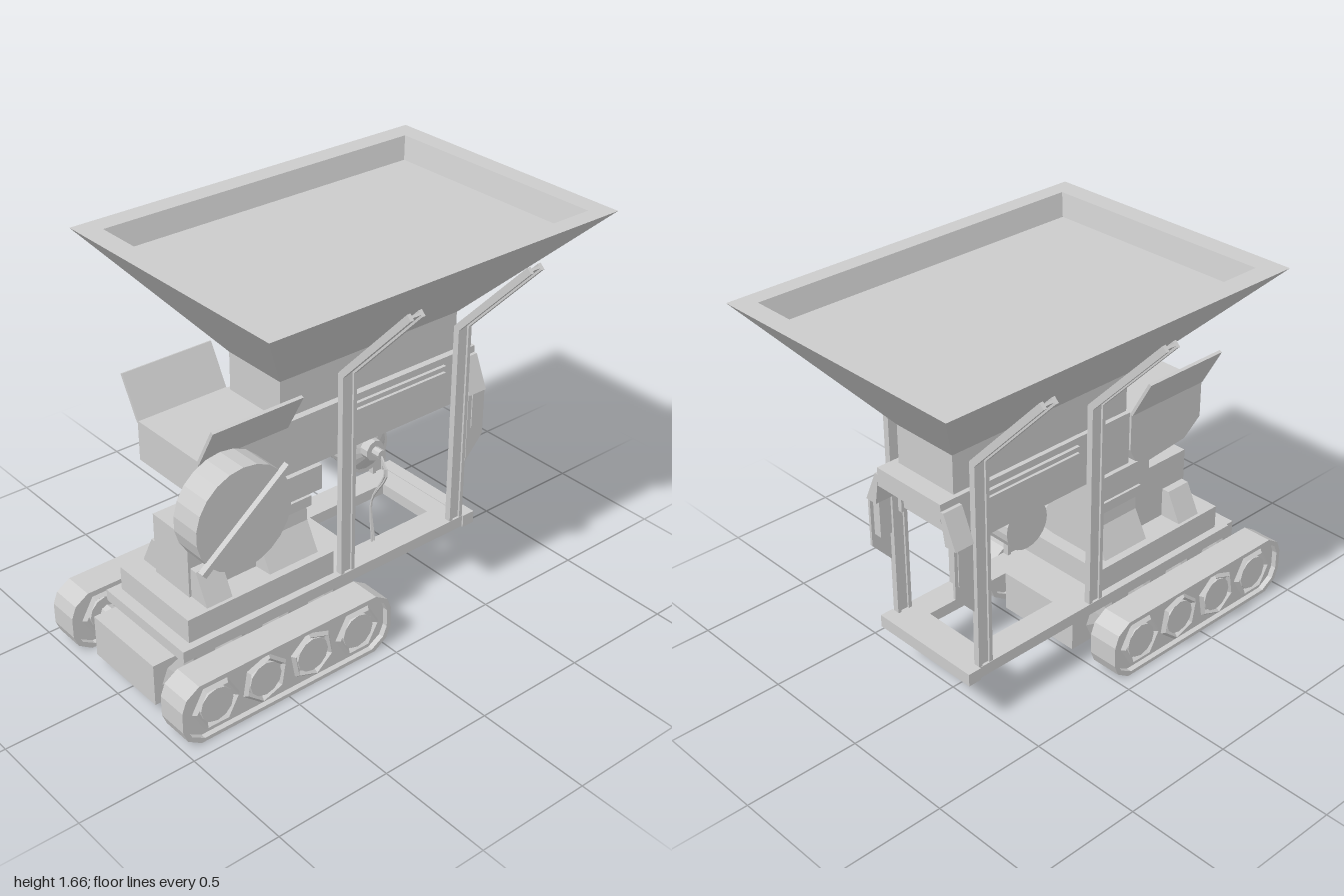
import * as THREE from 'three';

const mat = new THREE.MeshStandardMaterial({ color: 0xcccccc, flatShading: true, side: THREE.DoubleSide });

export function createModel() {
  const root = new THREE.Group();

  const add = (name, geo, parent = root) => {
    const m = new THREE.Mesh(geo, mat);
    m.name = name;
    parent.add(m);
    return m;
  };
  // box given by its limits on each axis
  const box = (name, x0, x1, y0, y1, z0, z1, parent) => {
    const m = add(name, new THREE.BoxGeometry(x1 - x0, y1 - y0, z1 - z0), parent);
    m.position.set((x0 + x1) / 2, (y0 + y1) / 2, (z0 + z1) / 2);
    return m;
  };
  // outline in x,y extruded from z0 to z1
  const plate = (name, pts, z0, z1, holes = [], parent) => {
    const shape = new THREE.Shape(pts.map(p => new THREE.Vector2(...p)));
    holes.forEach(h => shape.holes.push(new THREE.Path(h.map(p => new THREE.Vector2(...p)))));
    const m = add(name, new THREE.ExtrudeGeometry(shape, { depth: z1 - z0, bevelEnabled: false }), parent);
    m.position.z = z0;
    return m;
  };
  // outline in z,y extruded along x from x0 to x1
  const profileX = (name, pts, x0, x1) => {
    const m = plate(name, pts.map(([z, y]) => [-z, y]), 0, x1 - x0);
    m.rotation.y = Math.PI / 2;
    m.position.set(x0, 0, 0);
    return m;
  };
  // cylinder along z
  const cylZ = (name, x, y, z0, z1, r0, r1, n, parent) => {
    const m = add(name, new THREE.CylinderGeometry(r1, r0, z1 - z0, n), parent);
    m.rotation.x = Math.PI / 2;
    m.position.set(x, y, (z0 + z1) / 2);
    return m;
  };
  const rect = (x0, x1, y0, y1) => [[x0, y0], [x1, y0], [x1, y1], [x0, y1]];
  // stacked rectangles [x0, x1, y, z0, z1] joined into one closed skin
  const loft = sections => {
    const pos = [], idx = [];
    sections.forEach(([x0, x1, y, z0, z1]) => pos.push(x0, y, z1, x1, y, z1, x1, y, z0, x0, y, z0));
    for (let s = 0; s < sections.length - 1; s++) {
      for (let i = 0; i < 4; i++) {
        const a = s * 4 + i, b = s * 4 + (i + 1) % 4;
        idx.push(a, b, b + 4, a, b + 4, a + 4);
      }
    }
    const t = (sections.length - 1) * 4;
    idx.push(0, 2, 1, 0, 3, 2, t, t + 1, t + 2, t, t + 2, t + 3);
    const g = new THREE.BufferGeometry();
    g.setAttribute('position', new THREE.Float32BufferAttribute(pos, 3));
    g.setIndex(idx);
    const flat = g.toNonIndexed();
    flat.computeVertexNormals();
    return flat;
  };

  // Hopper with a shallow recessed load
  add('hopper', loft([
    [-0.30, 0.60, 1.195, -0.16, 0.15],
    [-0.69, 0.995, 1.665, -0.605, 0.59],
    [-0.60, 0.91, 1.665, -0.515, 0.515],
    [-0.58, 0.885, 1.57, -0.49, 0.49],
  ]));
  box('hopperNeck', -0.30, 0.60, 1.02, 1.2, -0.16, 0.15);

  // Feeder housing, hollow underneath
  box('feederTop', -0.30, 0.68, 0.95, 1.03, -0.18, 0.18);
  box('feederFloor', -0.30, 0.30, 0.8, 0.95, -0.17, 0.17);
  box('feederEndWall', 0.56, 0.59, 0.83, 0.95, -0.145, 0.145);
  box('feederCrossBar', 0.60, 0.64, 0.93, 0.95, -0.15, 0.15);
  for (const s of [-1, 1]) {
    box('feederSide', -0.30, 0.59, 0.8, 1.0, s * 0.17 - 0.01, s * 0.17 + 0.01);
    for (const y of [0.96, 0.99])
      box('feederRail', -0.01, 0.51, y - 0.01, y + 0.01, s * 0.185 - 0.01, s * 0.185 + 0.01);
  }

  // End flaps hanging at the discharge end
  for (const s of [-1, 1]) {
    profileX('flapShoulder', [[s * 0.175, 1.0], [s * 0.195, 1.0], [s * 0.257, 0.86], [s * 0.20, 0.86]], 0.59, 0.68);
    plate('endFlap', [[0.59, 0.55], [0.68, 0.65], [0.68, 0.87], [0.59, 0.87]], s * 0.243 - 0.006, s * 0.243 + 0.006);
    box('flapBox', 0.61, 0.665, 0.70, 0.86, s * 0.227 - 0.027, s * 0.227 + 0.027);
  }

  // Trough with flared side boards
  plate('trough', [[-0.71, 0.86], [-0.62, 0.79], [-0.40, 0.77], [-0.33, 0.80], [-0.30, 0.86], [-0.30, 1.03], [-0.71, 1.03]], -0.19, 0.19);
  for (const s of [-1, 1])
    profileX('flaredBoard', [[s * 0.18, 1.02], [s * 0.195, 1.02], [s * 0.288, 1.19], [s * 0.275, 1.195]], -0.71, -0.30);

  // Side drum with a diagonal bar
  cylZ('sideDrum', -0.655, 0.865, 0.25, 0.387, 0.215, 0.215, 22);
  cylZ('drumShaft', -0.655, 0.865, 0.15, 0.26, 0.07, 0.07, 12);
  const bar = box('drumBar', -0.25, 0.25, -0.013, 0.013, -0.013, 0.013);
  bar.position.set(-0.66, 0.867, 0.398);
  bar.rotation.z = Math.atan2(0.31, 0.4);

  // Turntable and engine block
  box('turntable', -0.44, -0.11, 0.66, 0.77, -0.165, 0.165);
  box('engineBlock', -0.72, -0.16, 0.39, 0.66, -0.11, 0.11);
  for (const s of [-1, 1]) {
    profileX('engineBox', [[s * 0.10, 0.39], [s * 0.21, 0.39], [s * 0.145, 0.52], [s * 0.10, 0.52]], -0.71, -0.59);
    profileX('engineSkirt', [[s * 0.10, 0.39], [s * 0.20, 0.40], [s * 0.135, 0.52], [s * 0.13, 0.60], [s * 0.16, 0.60], [s * 0.16, 0.645], [s * 0.10, 0.645]], -0.40, -0.16);
  }

  // Chassis and deck frame
  box('chassis', -0.96, 0.025, 0.05, 0.235, -0.20, 0.20);
  box('upperDeck', -0.81, -0.10, 0.285, 0.39, -0.225, 0.225);
  const deck = plate('deckFrame', rect(-0.86, 0.64, -0.258, 0.258), 0, 0.05, [rect(0.08, 0.49, -0.14, 0.14)]);
  deck.rotation.x = -Math.PI / 2;
  deck.position.set(0, 0.235, 0);
  box('deckEndBar', 0.58, 0.64, 0.233, 0.288, -0.265, 0.265);

  // H-section posts, upright and then leaning out under the hopper
  const beam = (x, s, [y0, z0], [y1, z1]) => {
    const g = new THREE.Group();
    const len = Math.hypot(y1 - y0, z1 - z0) / 2;
    g.name = 'post';
    for (const f of [-1, 1])
      box('postFlange', f * 0.027 - 0.008, f * 0.027 + 0.008, -len, len, -0.014, 0.014, g);
    box('postWeb', -0.02, 0.02, -len, len, -0.005, 0.005, g);
    g.position.set(x, (y0 + y1) / 2, s * (z0 + z1) / 2);
    g.rotation.x = s * Math.atan2(z1 - z0, y1 - y0);
    root.add(g);
  };
  for (const x of [-0.05, 0.545]) for (const s of [-1, 1]) {
    beam(x, s, [0.28, 0.242], [1.19, 0.242]);
    beam(x, s, [1.185, 0.24], [1.565, 0.602]);
  }

  // Conveyor pulley with motor, bracket and hoses
  cylZ('pulley', 0.19, 0.69, -0.11, 0.09, 0.107, 0.107, 20);
  cylZ('pulleyCone', 0.185, 0.70, 0.09, 0.125, 0.10, 0.03, 16);
  cylZ('pulleyMotor', 0.17, 0.72, 0.12, 0.16, 0.045, 0.045, 10);
  cylZ('motorTip', 0.17, 0.72, 0.16, 0.20, 0.02, 0.02, 8);
  box('pulleyBracket', 0.13, 0.25, 0.76, 0.87, -0.06, 0.06);
  for (const d of [0, 0.012]) {
    const path = [[0.17, 0.72, 0.19], [0.168, 0.65, 0.235 - d], [0.165, 0.48, 0.15], [0.165 + d, 0.285, 0.157]];
    const curve = new THREE.CatmullRomCurve3(path.map(p => new THREE.Vector3(...p)));
    add('hose', new THREE.TubeGeometry(curve, 14, 0.005, 5));
  }

  // Crawler tracks
  const outer = [[-0.92, 0], [-0.06, 0], [0.0, 0.04], [0.02, 0.09], [0.02, 0.18], [0.0, 0.23], [-0.06, 0.268],
    [-0.92, 0.268], [-0.98, 0.23], [-1.0, 0.18], [-1.0, 0.09], [-0.98, 0.04]];
  const inner = outer.map(([x, y]) => [-0.49 + (x + 0.49) * 0.962, 0.134 + (y - 0.134) * 0.88]);
  for (const s of [-1, 1]) {
    const track = new THREE.Group();
    track.name = 'track';
    plate('trackBelt', outer, -0.068, 0.068, [inner], track);
    plate('trackPlate', inner, -0.045, 0.045, [], track);
    for (let i = 0; i < 4; i++) {
      const x = -0.835 + i * 0.231;
      for (const f of [-1, 1]) {
        const rim = add('wheelRim', new THREE.TorusGeometry(0.096, 0.014, 4, 6), track);
        rim.position.set(x, 0.134, f * 0.05);
        rim.rotation.z = i * 0.35;
        cylZ('wheelHub', x, 0.134, f * 0.05 - 0.008, f * 0.05 + 0.008, 0.075, 0.075, 12, track);
      }
      // axle widening towards the chassis
      cylZ('axle', x, 0.14, s * 0.25 - 0.055, s * 0.25 + 0.055, 0.034, 0.034, 8);
      cylZ('axleFlange', x, 0.134, s * 0.215 - 0.012, s * 0.215 + 0.012, s > 0 ? 0.09 : 0.04, s > 0 ? 0.04 : 0.09, 8);
    }
    track.position.z = s * 0.37;
    root.add(track);
  }
  return root;
}
